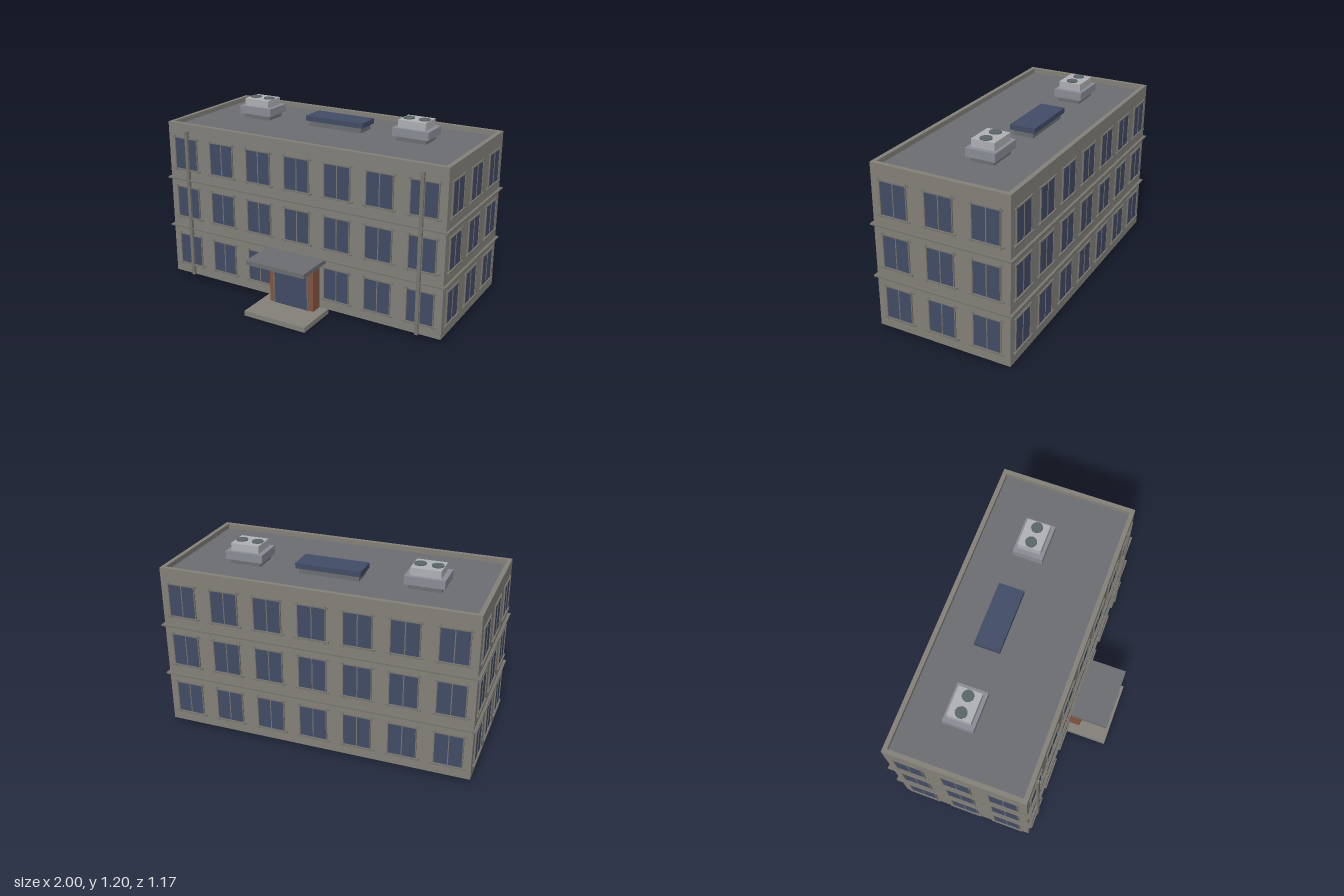
import * as THREE from 'three';

const mat = (color) => new THREE.MeshStandardMaterial({ color });
const WALL = mat(0x84817a), TRIM = mat(0x77756e), ROOF = mat(0x6c6e72), GLASS = mat(0x424c66);
const BRICK = mat(0x85543f), CURB = mat(0x8a8d96), UNIT = mat(0xb0b1b5), FAN = mat(0x5a6668);

// Box given by its min and max on each axis
function box(parent, name, material, [x0, x1], [y0, y1], [z0, z1]) {
  const mesh = new THREE.Mesh(new THREE.BoxGeometry(x1 - x0, y1 - y0, z1 - z0), material);
  mesh.position.set((x0 + x1) / 2, (y0 + y1) / 2, (z0 + z1) / 2);
  mesh.name = name;
  parent.add(mesh);
  return mesh;
}

const W = 0.983, ZF = 0.308, ZB = -0.568, BASE = 0.033, DECK = 1.06, TOP = 1.091;

// Window facing +z, its origin at the centre of the pane on the wall
function makeWindow() {
  const g = new THREE.Group();
  g.name = 'window';
  const w = 0.087, h = 0.103;
  box(g, 'pane', GLASS, [-w, w], [-h, h], [-0.005, 0.004]);
  box(g, 'mullion', TRIM, [-0.003, 0.003], [-h, h], [0, 0.007]);
  for (const s of [-1, 1]) {
    box(g, 'jamb', TRIM, [s * w - 0.003, s * w + 0.003], [-h - 0.018, h + 0.014], [0, 0.009]);
  }
  box(g, 'lintel', TRIM, [-0.102, 0.102], [h, h + 0.008], [0, 0.009]);
  box(g, 'sill', TRIM, [-0.108, 0.108], [-h - 0.009, -h], [0, 0.014]);
  return g;
}

function addWindows(parent) {
  const place = (x, y, z, turn) => {
    const win = makeWindow();
    win.position.set(x, y, z);
    win.rotation.y = turn;
    parent.add(win);
  };
  [0.211, 0.552, 0.888].forEach((y, floor) => {
    for (let i = -3; i <= 3; i++) {
      // the entrance takes the middle bay of the ground floor
      if (floor > 0 || i !== 0) place(i * 0.2815, y, ZF, 0);
      place(i * 0.2815, y, ZB, Math.PI);
    }
    for (let i = -1; i <= 1; i++) {
      const z = -0.13 + i * 0.2925;
      place(W, y, z, Math.PI / 2);
      place(-W, y, z, -Math.PI / 2);
    }
  });
}

function addBody(parent) {
  const t = 0.028;
  box(parent, 'walls', WALL, [-W, W], [BASE, DECK - 0.005], [ZB, ZF]);
  box(parent, 'roofDeck', ROOF, [-W + t, W - t], [DECK - 0.01, DECK], [ZB + t, ZF - t]);
  // parapet around the roof
  const rise = [DECK - 0.005, TOP];
  box(parent, 'parapetFront', WALL, [-W, W], rise, [ZF - t, ZF]);
  box(parent, 'parapetBack', WALL, [-W, W], rise, [ZB, ZB + t]);
  box(parent, 'parapetLeft', WALL, [W - t, W], rise, [ZB + t, ZF - t]);
  box(parent, 'parapetRight', WALL, [-W, -W + t], rise, [ZB + t, ZF - t]);
  // belt courses between the floors
  for (const y of [0.371, 0.71]) {
    box(parent, 'beltCourse', TRIM, [-1, 1], [y - 0.005, y + 0.005], [ZB - 0.017, ZF + 0.017]);
  }
  for (const s of [-1, 1]) {
    box(parent, 'drainpipe', TRIM, [s * 0.832 - 0.011, s * 0.832 + 0.011], [BASE, 1.046], [ZF, 0.327]);
  }
}

function addEntrance(parent) {
  const g = new THREE.Group();
  g.name = 'entrance';
  box(g, 'step', WALL, [-0.22, 0.22], [0, BASE], [0.295, 0.588]);
  box(g, 'canopy', ROOF, [-0.207, 0.207], [0.347, 0.375], [ZF, 0.573]);
  box(g, 'brickSurround', BRICK, [-0.16, 0.16], [BASE, 0.347], [ZF, 0.384]);
  box(g, 'doorGlass', GLASS, [-0.123, 0.123], [BASE, 0.308], [0.38, 0.388]);
  for (const s of [-1, 1]) {
    box(g, 'doorJamb', TRIM, [s * 0.123 - 0.003, s * 0.123 + 0.003], [BASE, 0.32], [0.384, 0.395]);
  }
  box(g, 'doorHead', TRIM, [-0.132, 0.132], [0.306, 0.313], [0.384, 0.395]);
  parent.add(g);
}

// Rooftop cooling unit with two fans
function makeCoolingUnit() {
  const g = new THREE.Group();
  g.name = 'coolingUnit';
  box(g, 'plinth', ROOF, [-0.1, 0.1], [DECK, TOP], [-0.075, 0.075]);
  box(g, 'unitBase', CURB, [-0.122, 0.122], [TOP, 1.143], [-0.095, 0.095]);
  box(g, 'unitHousing', UNIT, [-0.092, 0.092], [1.143, 1.191], [-0.074, 0.074]);
  for (const s of [-1, 1]) {
    const fan = new THREE.Mesh(new THREE.CylinderGeometry(0.036, 0.036, 0.01, 20), FAN);
    fan.position.set(s * 0.052, 1.192, 0);
    fan.name = 'fan';
    g.add(fan);
  }
  return g;
}

export function createModel() {
  const model = new THREE.Group();
  model.name = 'officeBuilding';
  addBody(model);
  addWindows(model);
  addEntrance(model);
  for (const x of [-0.588, 0.55]) {
    const unit = makeCoolingUnit();
    unit.position.set(x, 0, -0.208);
    model.add(unit);
  }
  // skylight on a recessed curb
  box(model, 'skylightCurb', ROOF, [-0.19, 0.19], [DECK, 1.096], [-0.29, -0.16]);
  box(model, 'skylight', GLASS, [-0.207, 0.207], [1.096, 1.129], [-0.307, -0.145]);
  return model;
}
